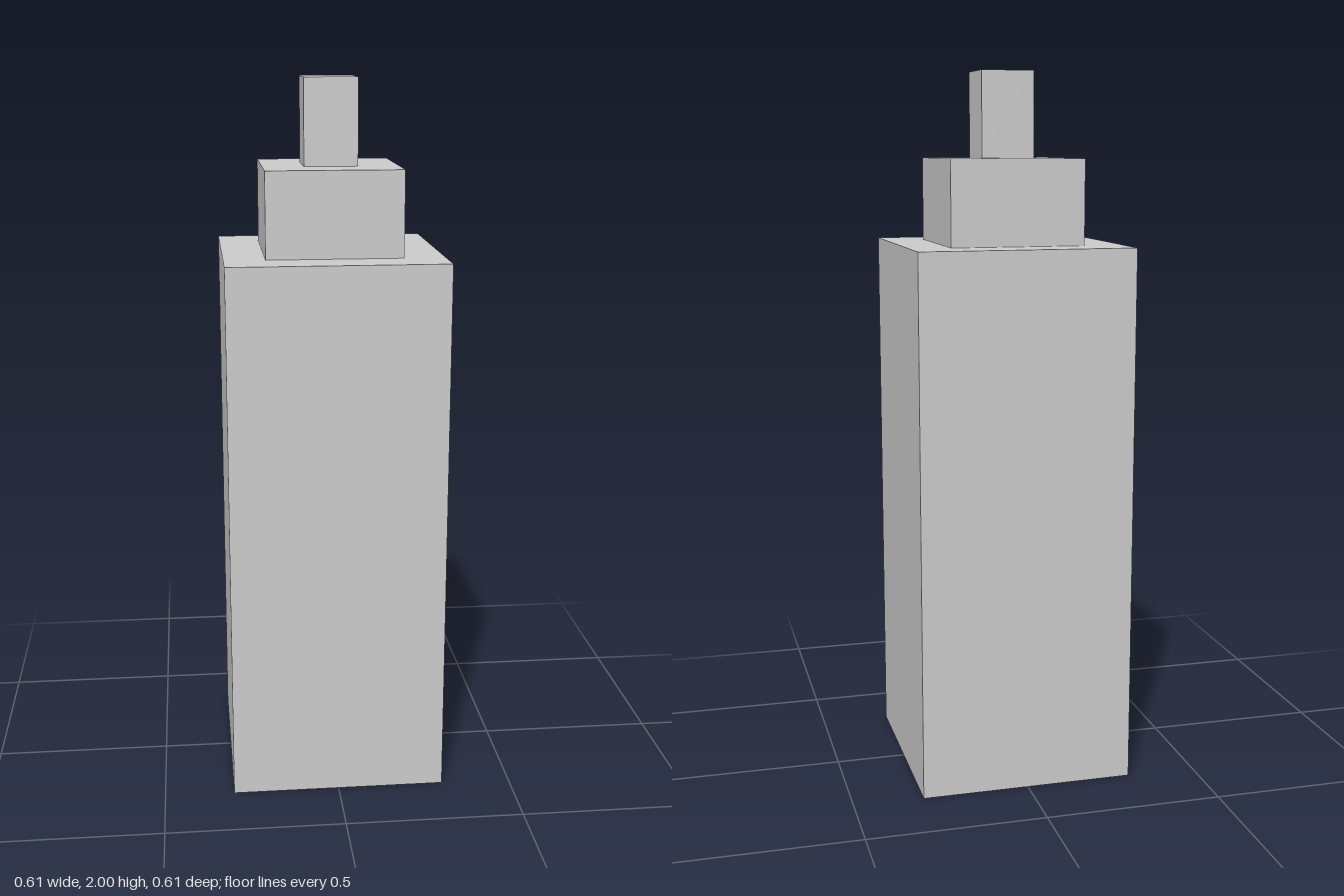
import * as THREE from 'three';

// Stepped tower: three square tiers stacked from the ground up
const TIERS = [
  { name: 'towerBody', width: 0.605, bottom: 0, top: 1.525 },
  { name: 'middleTier', width: 0.377, bottom: 1.525, top: 1.762 },
  { name: 'topTier', width: 0.149, bottom: 1.762, top: 2 },
];

export function createModel() {
  const group = new THREE.Group();
  group.name = 'steppedTower';
  const material = new THREE.MeshStandardMaterial({ color: 0xcccccc, flatShading: true });

  for (const { name, width, bottom, top } of TIERS) {
    const tier = new THREE.Mesh(new THREE.BoxGeometry(width, top - bottom, width), material);
    tier.name = name;
    tier.position.y = (bottom + top) / 2;
    group.add(tier);
  }
  return group;
}
